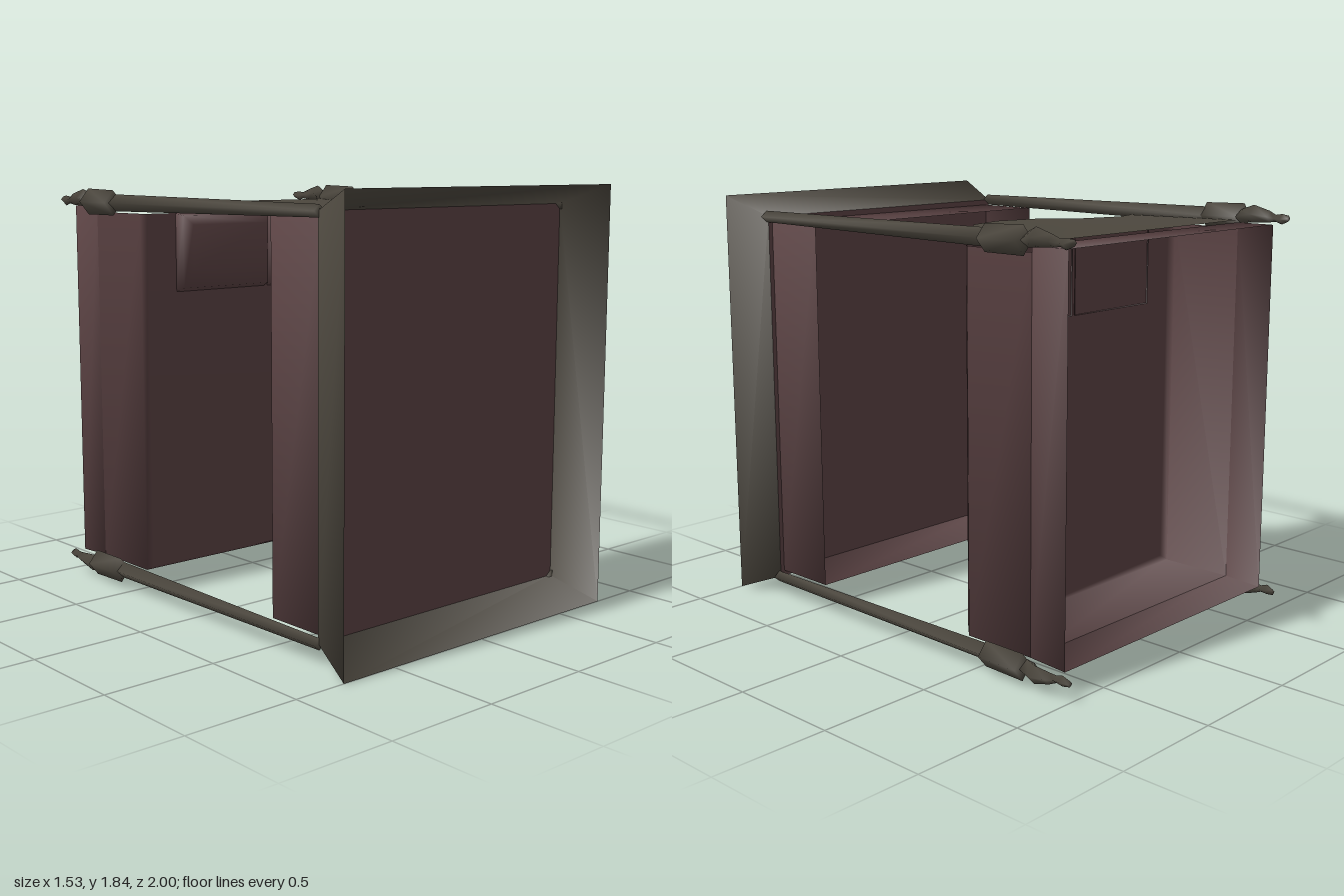
import * as THREE from 'three';
import { mergeVertices } from 'three/addons/utils/BufferGeometryUtils.js';

const mat = (name, color) => {
  const m = new THREE.MeshStandardMaterial({ color, side: THREE.DoubleSide });
  m.name = name;
  return m;
};

// Cross-sections, counter-clockwise from the front
const box = ([x0, x1, y0, y1, z]) => [[x0, y0, z], [x1, y0, z], [x1, y1, z], [x0, y1, z]];
const diamond = ([x0, x1, y0, y1, z]) => {
  const xm = (x0 + x1) / 2, ym = (y0 + y1) / 2;
  return [[xm, y0, z], [x1, ym, z], [xm, y1, z], [x0, ym, z]];
};

// Smooth four-sided loft: rings run front to back as [x0, x1, y0, y1, z].
// sides: 0 bottom, 1 left, 2 top, 3 right.
function loft(rings, { section = box, sides = [0, 1, 2, 3], front = false, back = false } = {}) {
  const pos = [];
  const quad = (a, b, c, d) => pos.push(...a, ...b, ...c, ...a, ...c, ...d);
  for (let r = 0; r < rings.length - 1; r++) {
    const a = section(rings[r]), b = section(rings[r + 1]);
    for (const i of sides) {
      const j = (i + 1) % 4;
      quad(a[i], b[i], b[j], a[j]);
    }
  }
  if (front) quad(...section(rings[0]));
  if (back) quad(...section(rings[rings.length - 1]).reverse());
  const g = new THREE.BufferGeometry();
  g.setAttribute('position', new THREE.Float32BufferAttribute(pos, 3));
  const merged = mergeVertices(g);
  merged.computeVertexNormals();
  return merged;
}

export function createModel() {
  const group = new THREE.Group();
  const red = mat('dark red panel', 0x573f40);
  const dark = mat('dark olive trim', 0x4b463d);
  const add = (name, geo, material, parent = group) => {
    const m = new THREE.Mesh(geo, material);
    m.name = name;
    parent.add(m);
    return m;
  };

  // Flared front skirt around a recessed panel
  add('frontSkirt', loft([
    [-0.765, 0.765, 0, 1.84, 1],
    [-0.7, 0.7, 0.085, 1.755, 0.78],
  ]), dark);
  const panel = add('frontPanel', new THREE.PlaneGeometry(1.4, 1.67), red);
  panel.position.set(0, 0.92, 0.78);

  // Front tray walls, open to the back
  add('frontTray', loft([
    [-0.68, 0.68, 0.11, 1.73, 0.78],
    [-0.68, 0.68, 0.11, 1.73, 0.48],
  ]), red);

  // Rear tray, open to the back; the cloth closes its top
  add('rearTray', loft([
    [-0.65, 0.65, 0.13, 1.71, -0.4],
    [-0.67, 0.67, 0.11, 1.71, -0.425],
    [-0.67, 0.67, 0.11, 1.71, -0.765],
  ], { sides: [0, 1, 3], front: true }), red);
  add('rearRim', loft([
    [-0.67, 0.67, 0.11, 1.735, -0.765],
    [-0.67, 0.67, 0.1, 1.735, -0.945],
  ]), red);

  // Two rounded pouches on the rear tray's front panel
  for (const x of [-0.5, 0.02]) {
    add('pouch', loft([
      [x + 0.04, x + 0.46, 1.46, 1.66, -0.32],
      [x + 0.01, x + 0.49, 1.38, 1.7, -0.355],
      [x, x + 0.5, 1.36, 1.71, -0.405],
    ], { front: true }), red);
  }

  // Cloth over the rear tray with a lobed front edge and a slight sag
  const edge = [
    [-0.665, -0.17], [-0.55, -0.2], [-0.36, -0.14], [-0.2, 0], [0, 0.05],
    [0.2, 0], [0.36, -0.14], [0.55, -0.2], [0.665, -0.17],
  ];
  const rows = 6;
  const cloth = new THREE.PlaneGeometry(1, 1, edge.length - 1, rows);
  const p = cloth.attributes.position;
  for (let i = 0; i < p.count; i++) {
    const [x, zFront] = edge[i % edge.length];
    const t = Math.floor(i / edge.length) / rows;
    const sag = 0.012 * Math.sin(Math.PI * t) * (1 - (x / 0.665) ** 2);
    p.setXYZ(i, x, 1.745 - 0.01 * t - sag, -0.765 + t * (zFront + 0.765));
  }
  // Rows run back to front, so the upper side is the front face
  cloth.computeVertexNormals();
  add('cloth', cloth, dark);

  // Diamond-section corner rails with a collar and a claw tip, mirrored to all four corners
  const rail = loft([
    [0.672, 0.732, 1.73, 1.78, 0.79],
    [0.662, 0.74, 1.718, 1.792, -0.57],
  ], { section: diamond, front: true });
  const collar = loft([
    [0.668, 0.763, 1.7, 1.81, -0.565],
    [0.668, 0.763, 1.7, 1.815, -0.765],
  ], { section: diamond, front: true, back: true });
  const claw = loft([
    [0.645, 0.735, 1.73, 1.79, -0.765],
    [0.67, 0.745, 1.735, 1.812, -0.82],
    [0.685, 0.735, 1.74, 1.79, -0.9],
    [0.685, 0.725, 1.745, 1.775, -0.935],
    [0.685, 0.73, 1.735, 1.78, -0.965],
    [0.69, 0.715, 1.75, 1.775, -1],
  ], { section: diamond, front: true, back: true });
  for (const sx of [1, -1]) {
    for (const sy of [1, -1]) {
      const corner = new THREE.Group();
      corner.name = (sy > 0 ? 'upper' : 'lower') + (sx > 0 ? 'Left' : 'Right') + 'Rail';
      corner.scale.set(sx, sy, 1);
      corner.position.y = sy > 0 ? 0 : 1.84;
      add('rail', rail, dark, corner);
      add('collar', collar, dark, corner);
      add('claw', claw, dark, corner);
      group.add(corner);
    }
  }

  // Small bracket on the floor inside the rear tray
  const bracket = add('innerBracket', new THREE.BoxGeometry(0.06, 0.05, 0.18), dark);
  bracket.position.set(0.59, 0.145, -0.65);

  return group;
}
